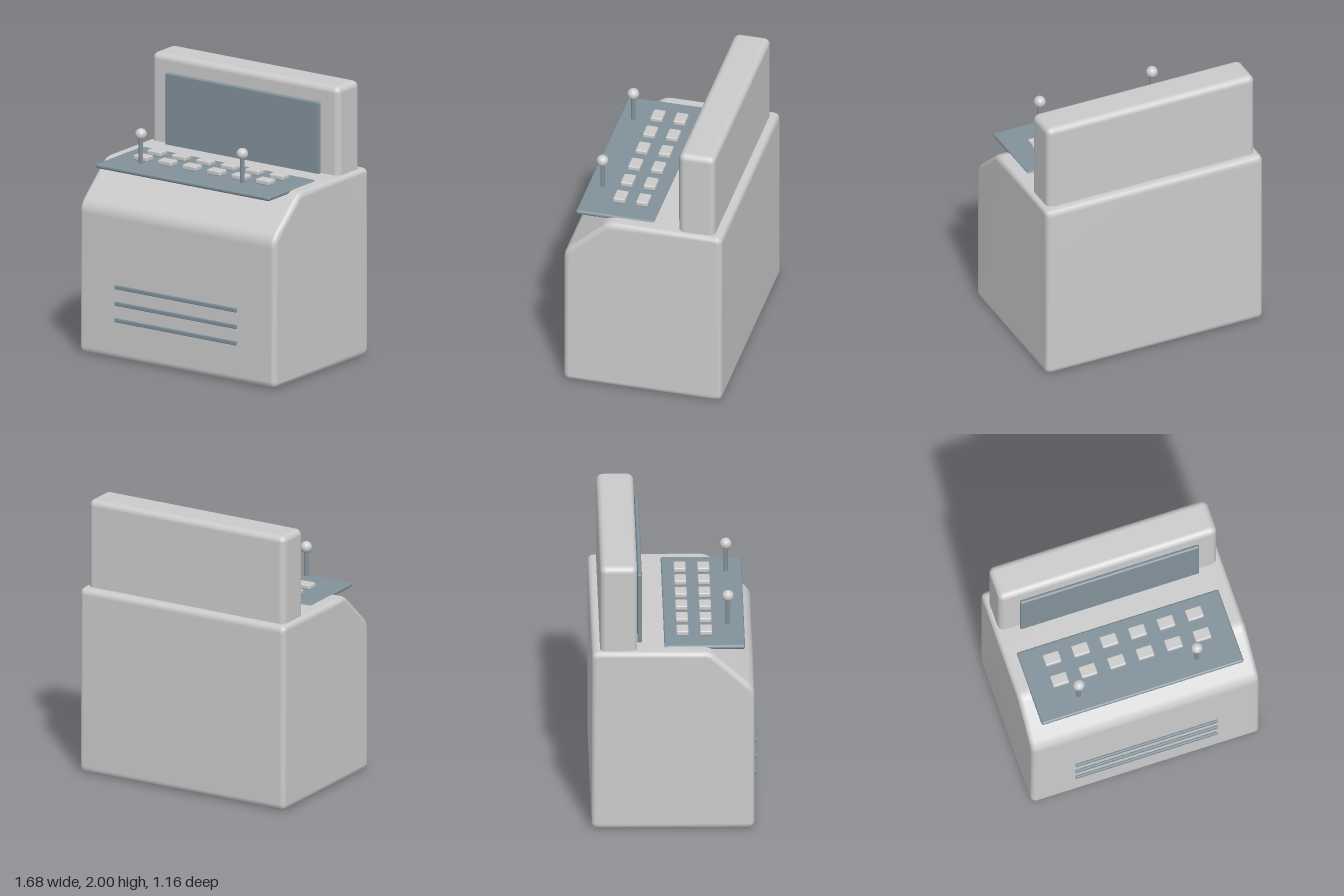
import * as THREE from 'three';
import { mergeVertices } from 'three/addons/utils/BufferGeometryUtils.js';
import { RoundedBoxGeometry } from 'three/addons/geometries/RoundedBoxGeometry.js';

const grey = new THREE.MeshStandardMaterial({ color: 0xcccccc });
const slate = new THREE.MeshStandardMaterial({ color: 0x82929b });

// Rounded box given by its [min, max] extents on each axis
function block(name, [x0, x1], [y0, y1], [z0, z1], radius, material, segments = 2) {
  const mesh = new THREE.Mesh(
    new RoundedBoxGeometry(x1 - x0, y1 - y0, z1 - z0, segments, radius), material);
  mesh.position.set((x0 + x1) / 2, (y0 + y1) / 2, (z0 + z1) / 2);
  mesh.name = name;
  return mesh;
}

// Closed shape whose corners [x, y, radius] are rounded off
function roundedShape(corners) {
  const shape = new THREE.Shape();
  const n = corners.length;
  corners.forEach(([x, y, r], i) => {
    const p = new THREE.Vector2(x, y);
    const towards = ([qx, qy]) => new THREE.Vector2(qx, qy).sub(p).setLength(r).add(p);
    const a = towards(corners[(i + n - 1) % n]);
    const b = towards(corners[(i + 1) % n]);
    if (i === 0) shape.moveTo(a.x, a.y);
    else shape.lineTo(a.x, a.y);
    shape.quadraticCurveTo(x, y, b.x, b.y);
  });
  shape.closePath();
  return shape;
}

// Cabinet: side profile (z, y) extruded across the width with soft edges
function cabinet() {
  const bevel = 0.035, halfWidth = 0.84;
  const profile = roundedShape([
    [-0.58, 0, 0.05], [0.56, 0, 0.05], [0.56, 1.08, 0.06],
    [0.25, 1.36, 0.05], [-0.58, 1.36, 0.05],
  ]);
  const depth = 2 * (halfWidth - bevel);
  let geometry = new THREE.ExtrudeGeometry(profile, {
    depth, curveSegments: 4, bevelEnabled: true, bevelSegments: 3,
    bevelSize: bevel, bevelThickness: bevel, bevelOffset: -bevel,
  });
  geometry.translate(0, 0, -depth / 2);
  geometry.rotateY(-Math.PI / 2);
  geometry.deleteAttribute('normal');
  geometry.deleteAttribute('uv');
  geometry = mergeVertices(geometry, 1e-4);
  geometry.computeVertexNormals();
  const mesh = new THREE.Mesh(geometry, grey);
  mesh.name = 'cabinet';
  return mesh;
}

// Joystick: thin shaft with a ball on top
function joystick(name, x) {
  const group = new THREE.Group();
  const shaft = new THREE.Mesh(new THREE.CylinderGeometry(0.016, 0.016, 0.21, 16), slate);
  shaft.position.y = 1.505;
  shaft.name = 'joystickShaft';
  const ball = new THREE.Mesh(new THREE.SphereGeometry(0.042, 24, 16), grey);
  ball.position.y = 1.61;
  ball.name = 'joystickBall';
  group.add(shaft, ball);
  group.position.set(x, 0, 0.38);
  group.name = name;
  return group;
}

export function createModel() {
  const model = new THREE.Group();
  model.name = 'controlConsole';

  model.add(
    cabinet(),
    block('backboard', [-0.805, 0.805], [1.28, 2], [-0.52, -0.26], 0.045, grey, 3),
    block('screen', [-0.66, 0.66], [1.3, 1.88], [-0.255, -0.225], 0.012, slate),
    block('controlPanel', [-0.745, 0.745], [1.338, 1.37], [-0.07, 0.495], 0.014, slate),
    joystick('rightJoystick', -0.435),
    joystick('leftJoystick', 0.435),
  );

  // Two rows of six buttons
  const buttons = new THREE.Group();
  buttons.name = 'buttons';
  for (const z of [0.06, 0.225])
    for (let i = 0; i < 6; i++) {
      const x = (i - 2.5) * 0.21;
      buttons.add(block('button', [x - 0.059, x + 0.059], [1.372, 1.408],
        [z - 0.043, z + 0.043], 0.01, grey));
    }
  model.add(buttons);

  // Vent slats low on the front
  const vents = new THREE.Group();
  vents.name = 'vents';
  for (const y of [0.29, 0.41, 0.53])
    vents.add(block('ventSlat', [-0.523, 0.523], [y - 0.015, y + 0.015], [0.563, 0.58], 0.006, slate));
  model.add(vents);

  return model;
}
